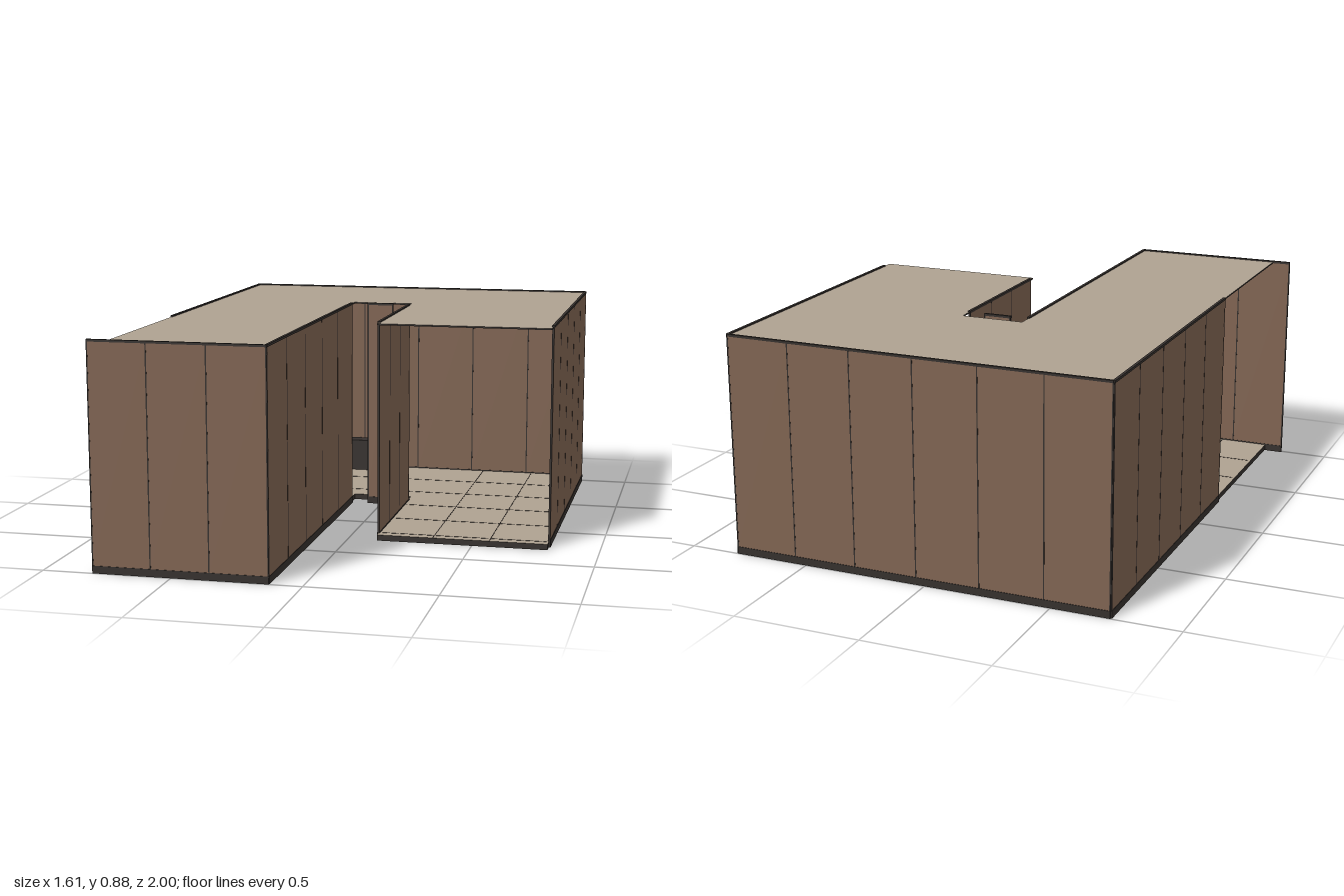
import * as THREE from 'three';

const flat = (name, color) => {
  const m = new THREE.MeshStandardMaterial({ color });
  m.name = name;
  return m;
};

export function createModel() {
  const panelMat = flat('brown panel', 0x7f6351);
  const trimMat = flat('dark trim', 0x35302d);
  const slabMat = flat('taupe board', 0xaea190);
  const model = new THREE.Group();
  model.name = 'pavilion';

  const box = (parent, name, mat, size, pos) => {
    const mesh = new THREE.Mesh(new THREE.BoxGeometry(...size), mat);
    mesh.name = name;
    mesh.position.set(...pos);
    parent.add(mesh);
    return mesh;
  };

  // U-shaped plan shared by floor and roof, drawn as x, z
  const plan = [[-0.73, -0.992], [0.8, -0.992], [0.8, 0.3], [0.12, 0.3],
    [0.12, -0.39], [-0.13, -0.39], [-0.13, 0.99], [-0.73, 0.99]];
  const slab = (name, top, depth) => {
    const shape = new THREE.Shape(plan.map(([x, z]) => new THREE.Vector2(x, z)));
    const geo = new THREE.ExtrudeGeometry(shape, { depth, bevelEnabled: false });
    geo.rotateX(Math.PI / 2);
    geo.translate(0, top, 0);
    const mesh = new THREE.Mesh(geo, [slabMat, trimMat]);
    mesh.name = name;
    model.add(mesh);
  };
  slab('floor', 0.025, 0.023);
  slab('roof', 0.87, 0.006);

  // Panelled wall between two plan points: base rail, top rail, panels, seams
  const wall = (name, x0, z0, x1, z1, count) => {
    const g = new THREE.Group();
    g.name = name;
    const len = Math.hypot(x1 - x0, z1 - z0);
    const step = len / count;
    for (let i = 0; i < count; i++) {
      box(g, 'panel', panelMat, [step, 0.842, 0.007], [-len / 2 + (i + 0.5) * step, 0.446, 0]);
    }
    for (let i = 0; i <= count; i++) {
      const x = THREE.MathUtils.clamp(-len / 2 + i * step, -len / 2 + 0.002, len / 2 - 0.002);
      box(g, 'seam', trimMat, [0.005, 0.842, 0.008], [x, 0.446, 0]);
    }
    box(g, 'baseRail', trimMat, [len, 0.029, 0.011], [0, 0.0145, 0]);
    box(g, 'topRail', trimMat, [len, 0.009, 0.011], [0, 0.8705, 0]);
    g.position.set((x0 + x1) / 2, 0, (z0 + z1) / 2);
    g.rotation.y = Math.atan2(z0 - z1, x1 - x0);
    model.add(g);
  };
  wall('backWall', -0.73, -0.994, 0.8, -0.994, 6);
  wall('leftWall', 0.8, -0.994, 0.8, 0.25, 5);
  wall('rightWall', -0.73, -0.994, -0.73, 0.27, 5);
  wall('frontWall', -0.805, 0.994, -0.127, 0.994, 3);
  wall('courtLongWall', -0.13, -0.33, -0.13, 0.994, 5);
  wall('courtShortWall', 0.12, -0.33, 0.12, 0.27, 3);
  wall('courtEndPanel', -0.06, -0.34, 0.05, -0.34, 1);

  // Board joints on the floor, above and below
  const joint = (x0, z0, x1, z1) => {
    for (const y of [0.0255, 0.0015]) {
      box(model, 'floorJoint', trimMat,
        [Math.max(x1 - x0, 0.003), 0.001, Math.max(z1 - z0, 0.003)],
        [(x0 + x1) / 2, y, (z0 + z1) / 2]);
    }
  };
  for (const z of [-0.74, -0.49]) joint(-0.72, z, 0.79, z);
  for (const z of [-0.24, 0.01, 0.26]) joint(0.13, z, 0.79, z);
  for (const z of [-0.24, 0.01, 0.26, 0.51, 0.75]) joint(-0.72, z, -0.14, z);
  for (const x of [0.345, 0.57]) joint(x, -0.98, x, 0.29);
  for (const x of [-0.53, -0.33]) joint(x, -0.98, x, 0.98);

  // Low cabinet at the back wall
  box(model, 'cabinet', trimMat, [0.16, 0.14, 0.07], [-0.22, 0.095, -0.925]);

  // Ceiling fittings
  for (const x of [0.08, 0.46]) {
    box(model, 'ceilingLamp', trimMat, [0.04, 0.006, 0.04], [x, 0.861, -0.6]);
  }
  box(model, 'hangingRod', trimMat, [0.004, 0.12, 0.004], [0.36, 0.804, -0.6]);

  return model;
}
